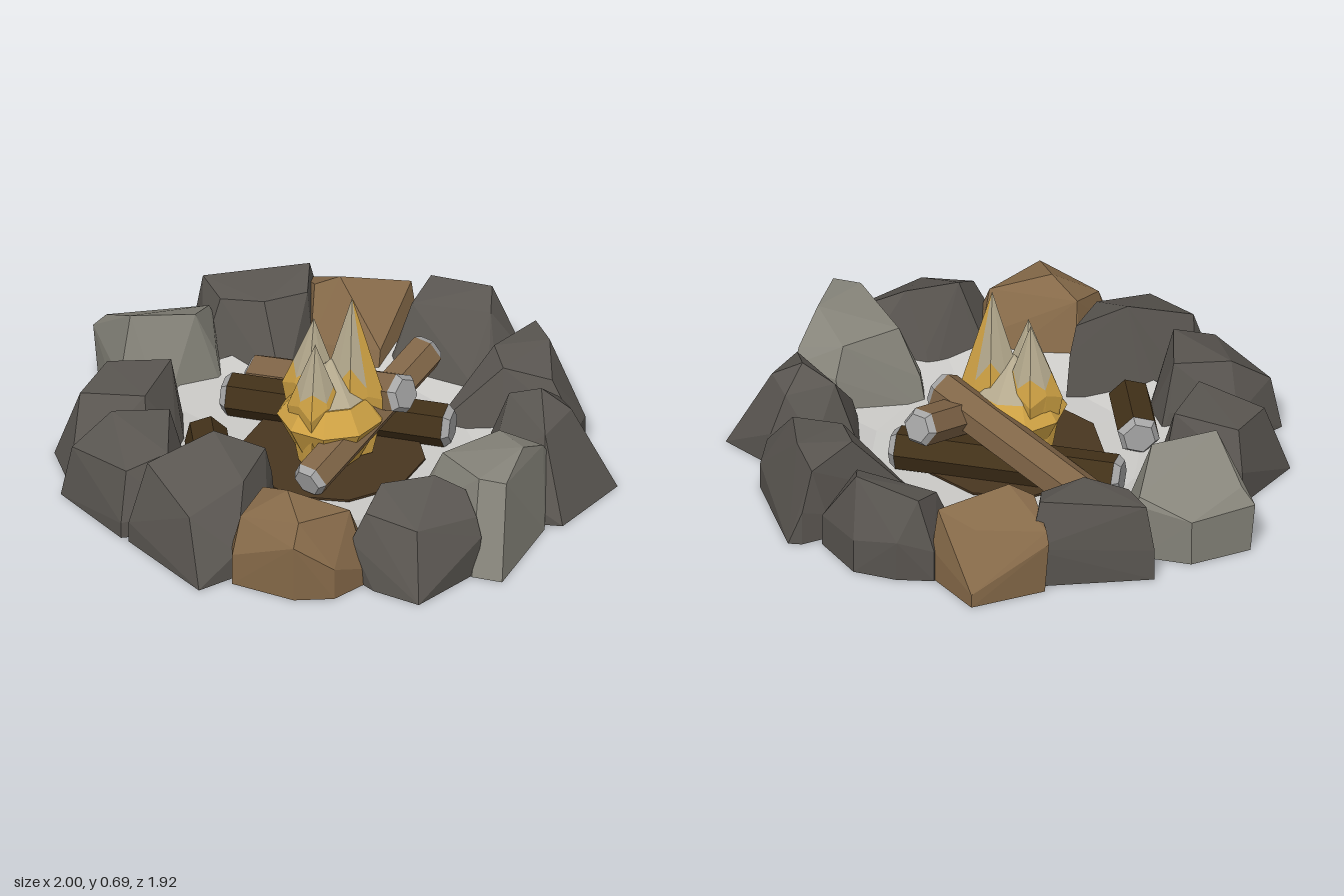
import * as THREE from 'three';
import { ConvexGeometry } from 'three/addons/geometries/ConvexGeometry.js';

const mat = (name, color) => {
  const m = new THREE.MeshStandardMaterial({ color, flatShading: true });
  m.name = name;
  return m;
};
const M = {
  dark: mat('dark stone', 0x5a5651),
  light: mat('light stone', 0x87857b),
  brown: mat('brown stone', 0x866a49),
  ash: mat('pale ash', 0xcbcac7),
  scorch: mat('scorched earth', 0x493620),
  wood: mat('light wood', 0x806547),
  bark: mat('dark bark', 0x423119),
  cut: mat('grey log end', 0xa6a6a6),
  gold: mat('flame gold', 0xcfa244),
  tip: mat('pale flame tip', 0xb5aa8e),
};

export function createModel() {
  const root = new THREE.Group();
  root.name = 'campfire';
  const add = (name, geo, material, parent = root) => {
    const mesh = new THREE.Mesh(geo, material);
    mesh.name = name;
    parent.add(mesh);
    return mesh;
  };

  // Stone: hull of a widest outline [x, z, y], its footprint and its top corners [x, y, z]
  const stone = (name, material, outline, tops) => {
    const cx = outline.reduce((s, p) => s + p[0], 0) / outline.length;
    const cz = outline.reduce((s, p) => s + p[1], 0) / outline.length;
    const pts = tops.map((p) => new THREE.Vector3(...p));
    for (const [x, z, y] of outline) {
      pts.push(new THREE.Vector3(x, y, z));
      const k = y > 0.13 ? 0.93 : 1; // high overhangs tuck in at the ground
      const inner = Math.hypot(x, z) < 0.67; // inner footings run under the ash
      pts.push(inner ? new THREE.Vector3(x * 0.93, 0, z * 0.93)
        : new THREE.Vector3(cx + (x - cx) * k, 0, cz + (z - cz) * k));
    }
    add(name, new ConvexGeometry(pts), material);
  };

  stone('backStone', M.brown,
    [[0.01, -0.96, 0.05], [0.17, -0.78, 0.12], [0.07, -0.55, 0.12], [-0.18, -0.57, 0.12], [-0.25, -0.83, 0.2]],
    [[0.01, 0.24, -0.83], [0.15, 0.28, -0.77], [-0.09, 0.34, -0.67], [-0.18, 0.3, -0.67], [-0.24, 0.24, -0.81]]);
  stone('backLeftStone', M.dark,
    [[0.16, -0.8, 0.12], [0.29, -0.82, 0.16], [0.45, -0.77, 0.13], [0.58, -0.6, 0.12], [0.51, -0.41, 0], [0.4, -0.43, 0.1], [0.1, -0.58, 0.06]],
    [[0.22, 0.31, -0.77], [0.45, 0.34, -0.68], [0.46, 0.3, -0.57], [0.17, 0.27, -0.64]]);
  stone('leftBackStone', M.dark,
    [[0.65, -0.61, 0.13], [0.7, -0.61, 0], [0.84, -0.25, 0.1], [0.83, -0.12, 0.12], [0.6, -0.16, 0.05], [0.31, -0.25, 0], [0.5, -0.43, 0.1], [0.57, -0.56, 0.1]],
    [[0.62, 0.28, -0.57], [0.69, 0.3, -0.42], [0.73, 0.27, -0.2], [0.55, 0.28, -0.24], [0.5, 0.29, -0.37]]);
  stone('leftStone', M.dark,
    [[0.995, 0.04, 0], [0.84, 0.33, 0], [0.77, 0.33, 0.05], [0.56, 0.16, 0.13], [0.53, -0.05, 0.12], [0.66, -0.14, 0.12], [0.82, -0.1, 0.13]],
    [[0.72, 0.365, 0.01], [0.83, 0.3, 0.03], [0.76, 0.29, 0.2], [0.6, 0.31, -0.03], [0.77, 0.28, -0.08]]);
  stone('leftFrontStone', M.light,
    [[0.62, 0.17, 0.2], [0.77, 0.21, 0.23], [0.78, 0.36, 0], [0.68, 0.73, 0], [0.57, 0.71, 0], [0.35, 0.43, 0.1], [0.34, 0.35, 0.12]],
    [[0.76, 0.28, 0.25], [0.71, 0.36, 0.4], [0.68, 0.34, 0.62], [0.58, 0.34, 0.6], [0.42, 0.3, 0.38], [0.6, 0.31, 0.22]]);
  stone('frontLeftStone', M.dark,
    [[0.15, 0.79, 0.16], [0.16, 0.64, 0.13], [0.34, 0.52, 0.12], [0.55, 0.49, 0.12], [0.6, 0.68, 0.15], [0.41, 0.92, 0], [0.24, 0.85, 0]],
    [[0.24, 0.33, 0.66], [0.42, 0.33, 0.58], [0.53, 0.28, 0.58], [0.58, 0.22, 0.66], [0.39, 0.24, 0.82], [0.2, 0.27, 0.77]]);
  stone('frontStone', M.brown,
    [[-0.27, 0.8, 0.12], [-0.19, 0.63, 0.13], [0.16, 0.65, 0.12], [0.21, 0.8, 0.06], [0.11, 0.92, 0.12], [-0.03, 0.96, 0.22], [-0.26, 0.87, 0.12]],
    [[-0.08, 0.33, 0.75], [0.14, 0.26, 0.74], [-0.02, 0.29, 0.9], [-0.24, 0.24, 0.8], [-0.18, 0.28, 0.66]]);
  stone('frontRightStone', M.dark,
    [[-0.18, 0.43, 0.2], [-0.18, 0.56, 0.16], [-0.25, 0.82, 0.1], [-0.37, 0.93, 0], [-0.66, 0.64, 0.08], [-0.62, 0.5, 0], [-0.48, 0.46, 0.1]],
    [[-0.38, 0.385, 0.48], [-0.2, 0.31, 0.45], [-0.25, 0.29, 0.65], [-0.6, 0.3, 0.59], [-0.42, 0.23, 0.82]]);
  stone('rightFrontStone', M.dark,
    [[-0.94, 0.36, 0], [-0.8, 0.21, 0.13], [-0.56, 0.2, 0.13], [-0.49, 0.35, 0.12], [-0.51, 0.56, 0.1], [-0.69, 0.62, 0.06]],
    [[-0.9, 0.2, 0.36], [-0.77, 0.31, 0.28], [-0.57, 0.31, 0.24], [-0.54, 0.29, 0.5], [-0.68, 0.24, 0.56]]);
  stone('rightStone', M.dark,
    [[-1, 0.09, 0], [-0.86, -0.17, 0.13], [-0.6, -0.12, 0.12], [-0.57, 0.08, 0.12], [-0.65, 0.23, 0.1], [-0.92, 0.29, 0]],
    [[-0.91, 0.25, 0.08], [-0.84, 0.27, -0.11], [-0.61, 0.31, -0.09], [-0.67, 0.3, 0.15]]);
  stone('rightBackStone', M.light,
    [[-0.94, -0.47, 0.19], [-0.73, -0.6, 0.18], [-0.53, -0.57, 0.22], [-0.49, -0.39, 0.16], [-0.65, -0.19, 0], [-0.81, -0.22, 0.13]],
    [[-0.78, 0.365, -0.27], [-0.56, 0.34, -0.35], [-0.54, 0.25, -0.56], [-0.89, 0.25, -0.45]]);
  stone('backRightStone', M.dark,
    [[-0.61, -0.7, 0.12], [-0.18, -0.81, 0.16], [-0.18, -0.62, 0.1], [-0.27, -0.41, 0], [-0.56, -0.5, 0.06]],
    [[-0.58, 0.29, -0.69], [-0.21, 0.33, -0.76], [-0.2, 0.29, -0.63], [-0.34, 0.3, -0.53], [-0.5, 0.28, -0.56]]);

  // Shallow ash bowl and the scorched patch in it
  const profile = [[0, 0], [0.52, 0], [0.67, 0.1], [0.48, 0.04], [0, 0.03]].map((p) => new THREE.Vector2(...p));
  add('ashBed', new THREE.LatheGeometry(profile, 14), M.ash);
  const patch = add('scorchedPatch', new THREE.CylinderGeometry(0.33, 0.33, 0.008, 10), M.scorch);
  patch.position.set(-0.02, 0.048, 0.03);
  patch.rotation.y = Math.PI / 10;

  // Log from a to b, with bevelled cut ends
  const log = (name, material, a, b, r) => {
    const from = new THREE.Vector3(...a), to = new THREE.Vector3(...b);
    const len = from.distanceTo(to), cap = 0.024;
    const g = new THREE.Group();
    g.name = name;
    add('logBody', new THREE.CylinderGeometry(r, r, len - 2 * cap, 6), material, g);
    for (const s of [1, -1]) {
      const end = add('logEnd', new THREE.CylinderGeometry(r * 0.75, r, cap, 6), M.cut, g);
      end.position.y = s * (len - cap) / 2;
      if (s < 0) end.rotation.z = Math.PI;
    }
    g.position.copy(from).lerp(to, 0.5);
    g.quaternion.setFromUnitVectors(new THREE.Vector3(0, 1, 0), to.sub(from).normalize());
    root.add(g);
  };
  log('longLog', M.wood, [-0.35, 0.1, -0.37], [0.24, 0.3, 0.01], 0.076);
  log('crossLog', M.wood, [0.28, 0.31, -0.29], [-0.07, 0.1, 0.33], 0.07);
  log('barkLog', M.bark, [-0.44, 0.11, -0.21], [0.39, 0.11, -0.1], 0.078);
  log('shortBarkLog', M.bark, [-0.47, 0.11, 0.05], [-0.4, 0.11, 0.34], 0.078);

  // Flame: pleated spindle with radii rx, rz; gold below, pale above, plus the listed gold upper facets
  const flame = (name, base, apex, rx, rz, belly, goldFacets) => {
    const n = 8, gold = [], pale = [];
    const ring = (i, y, k) => {
      const a = (i / n) * Math.PI * 2;
      return [base[0] + Math.sin(a) * rx * k, y, base[1] + Math.cos(a) * rz * k];
    };
    const foot = (i) => ring(i, 0.06, i % 2 ? 0.48 : 0.6);
    const mid = (i) => ring(i, belly + (i % 2 ? 0.03 : 0), i % 2 ? 0.72 : 1);
    const shoulder = (i) => mid(i).map((v, j) => v + (apex[j] - v) * (i % 2 ? 0.08 : 0.35));
    for (let i = 0; i < n; i++) {
      const a = foot(i), b = foot(i + 1), c = mid(i), d = mid(i + 1), e = shoulder(i), f = shoulder(i + 1);
      gold.push(...a, ...b, ...d, ...a, ...d, ...c, ...c, ...d, ...f, ...c, ...f, ...e);
      (goldFacets.includes(i) ? gold : pale).push(...e, ...f, ...apex);
    }
    const g = new THREE.Group();
    g.name = name;
    for (const [part, list, m] of [['flameBody', gold, M.gold], ['flameTip', pale, M.tip]]) {
      const geo = new THREE.BufferGeometry();
      geo.setAttribute('position', new THREE.Float32BufferAttribute(list, 3));
      geo.computeVertexNormals();
      add(part, geo, m, g);
    }
    root.add(g);
  };
  flame('tallFlame', [0.05, 0.03], [0.05, 0.695, 0.03], 0.12, 0.065, 0.28, [1, 2]);
  flame('backFlame', [-0.1, -0.01], [-0.09, 0.58, 0], 0.105, 0.095, 0.3, []);
  flame('frontFlame', [-0.07, 0.11], [-0.07, 0.54, 0.11], 0.1, 0.105, 0.28, []);

  // Faceted ember bulb joining the flames, with a pale core between them
  const bulb = [[0, 0.04], [0.1, 0.04], [0.19, 0.22], [0.13, 0.3], [0, 0.31]].map((p) => new THREE.Vector2(...p));
  add('flameBase', new THREE.LatheGeometry(bulb, 9), M.gold).position.set(-0.025, 0, 0.04);
  add('flameCore', new THREE.ConeGeometry(0.13, 0.14, 9), M.tip).position.set(-0.025, 0.37, 0.035);

  return root;
}
